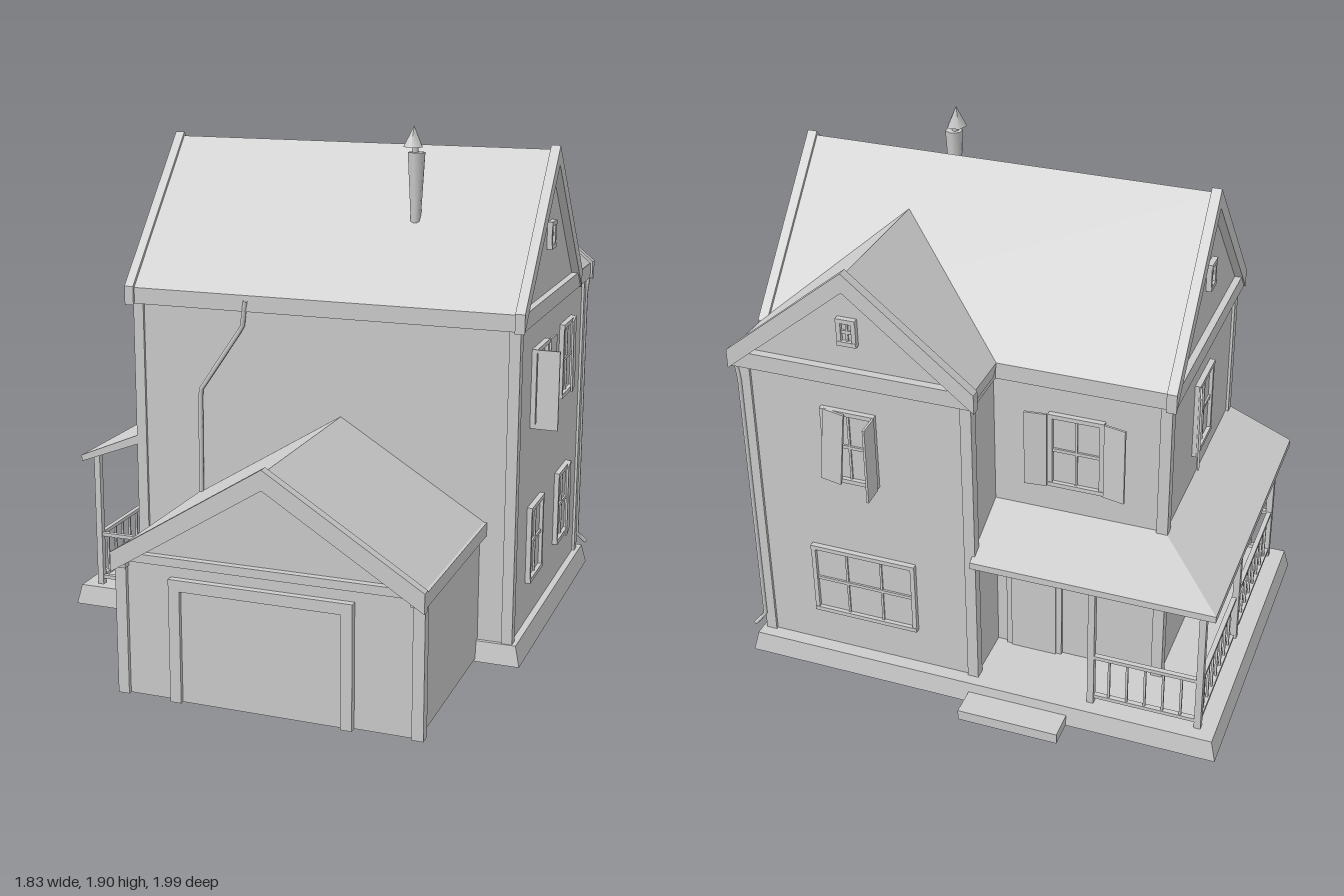
import * as THREE from 'three';

const plaster = new THREE.MeshStandardMaterial({ color: 0xcccccc, side: THREE.DoubleSide });
plaster.name = 'pale grey';

function add(parent, name, geometry) {
  const m = new THREE.Mesh(geometry, plaster);
  m.name = name;
  parent.add(m);
  return m;
}

// Box given by its limits on each axis
function block(parent, name, x0, x1, y0, y1, z0, z1) {
  const m = add(parent, name, new THREE.BoxGeometry(x1 - x0, y1 - y0, z1 - z0));
  m.position.set((x0 + x1) / 2, (y0 + y1) / 2, (z0 + z1) / 2);
  return m;
}

function group(parent, name) {
  const g = new THREE.Group();
  g.name = name;
  parent.add(g);
  return g;
}

const outline = pts => new THREE.Shape(pts.map(p => new THREE.Vector2(p[0], p[1])));

function prism(parent, name, pts, z0, z1) {
  const g = new THREE.ExtrudeGeometry(outline(pts), { depth: z1 - z0, bevelEnabled: false });
  g.translate(0, 0, z0);
  return add(parent, name, g);
}

// Flat sheet in the local xy plane
function sheet(parent, name, pts, z) {
  add(parent, name, new THREE.ShapeGeometry(outline(pts))).position.z = z;
}

// Upright sheet between two plan points
function wall(parent, name, [x0, z0], [x1, z1], y0, y1) {
  const m = add(parent, name, new THREE.PlaneGeometry(Math.hypot(x1 - x0, z1 - z0), y1 - y0));
  m.position.set((x0 + x1) / 2, (y0 + y1) / 2, (z0 + z1) / 2);
  m.rotation.y = Math.atan2(-(z1 - z0), x1 - x0);
}

// Inverted V of the given half width and vertical thickness
const chevron = (h, eave, ridge, t) =>
  [[-h, eave], [0, ridge], [h, eave], [h, eave - t], [0, ridge - t], [-h, eave - t]];

// Roof with rake boards at the chosen ends, running along local z
function gableRoof(parent, name, h, eave, ridge, z0, z1, ends) {
  const g = group(parent, name);
  const slopes = prism(g, 'roofSlopes', chevron(h, eave, ridge, 0.04), z0, z1);
  for (const e of ends) {
    const [a, b] = e < 0 ? [z0 - 0.005, z0 + 0.03] : [z1 - 0.03, z1 + 0.005];
    prism(g, 'rakeBoard', chevron(h + 0.01, eave + 0.005, ridge + 0.015, 0.07), a, b);
  }
  return slopes;
}

// Tube along straight pieces
function pipe(parent, name, pts, r) {
  const path = new THREE.CurvePath();
  const v = pts.map(p => new THREE.Vector3(...p));
  for (let i = 1; i < v.length; i++) path.add(new THREE.LineCurve3(v[i - 1], v[i]));
  add(parent, name, new THREE.TubeGeometry(path, 40, r, 6));
}

// Window facing local +z; shutters are [side, opening angle, sag]
function makeWindow(parent, x, y, z, turn, w, h, shutters = [], bars = 1) {
  const g = group(parent, 'window');
  g.position.set(x, y, z);
  g.rotation.y = turn;
  const a = w / 2, b = h / 2, f = 0.016;
  block(g, 'pane', -a, a, -b, b, -0.004, 0.003);
  for (const s of [-1, 1]) {
    block(g, 'sideFrame', s * (a - f / 2) - f / 2, s * (a - f / 2) + f / 2, -b, b, 0, 0.016);
    block(g, 'crossFrame', -a, a, s * (b - f / 2) - f / 2, s * (b - f / 2) + f / 2, 0, 0.018);
  }
  block(g, 'sashBar', -a, a, -0.006, 0.006, 0, 0.01);
  for (let i = 1; i <= bars; i++) {
    const bx = -a + w * i / (bars + 1);
    block(g, 'uprightBar', bx - 0.004, bx + 0.004, -b, b, 0, 0.009);
  }
  for (const [s, angle, sag = 0] of shutters) {
    const hinge = group(g, 'shutter');
    hinge.position.set(s * a, 0, 0.018);
    hinge.rotation.y = -s * angle;
    const leaf = block(hinge, 'shutterLeaf', -0.04, 0.04, -b, b, -0.004, 0.004);
    leaf.position.x = s * 0.042;
    leaf.rotation.z = sag;
  }
}

function makeHouse(root) {
  const g = group(root, 'house');
  const plan = [[-0.62, 0.24], [0.83, 0.24], [0.83, -0.84], [0, -0.84], [0, -0.62], [-0.62, -0.62]];
  const top = [[-0.885, 0.255], [0.855, 0.255], [0.855, -0.89], [-0.885, -0.89]];

  // Sloped skirt and the floor ledge around the hollow house
  const r = Math.SQRT1_2;
  let skirt = new THREE.CylinderGeometry(r * 0.98, r, 0.075, 4, 1, true).toNonIndexed();
  skirt.rotateY(Math.PI / 4);
  skirt.scale(1.775, 1, 1.17);
  skirt.computeVertexNormals();
  add(g, 'foundationSkirt', skirt).position.set(-0.015, 0.0575, -0.3175);
  const ledge = outline(top);
  ledge.holes.push(outline(plan));
  const floor = new THREE.ExtrudeGeometry(ledge, { depth: 0.008, bevelEnabled: false });
  floor.rotateX(Math.PI / 2);
  add(g, 'porchFloor', floor).position.y = 0.095;
  block(g, 'backStep', -0.36, 0.01, 0.02, 0.06, -1.0, -0.89);

  // Walls
  plan.forEach((p, i) => wall(g, 'houseWall', p, plan[(i + 1) % plan.length], 0.03, 1.28));

  // Main gables and roof, turned so the ridge runs along x
  const main = group(g, 'mainGables');
  main.rotation.y = Math.PI / 2;
  main.position.z = -0.19;
  for (const z of [-0.62, 0.83]) sheet(main, 'gableWall', [[-0.43, 1.28], [0.43, 1.28], [0, 1.785]], z);
  gableRoof(main, 'mainRoof', 0.46, 1.3, 1.815, -0.645, 0.855, [-1, 1]);

  // Rear wing gable, its roof mitred into the main slope
  const wing = group(g, 'rearWing');
  wing.position.x = 0.415;
  sheet(wing, 'gableWall', [[-0.415, 1.28], [0.415, 1.28], [0, 1.625]], -0.84);
  const slopes = gableRoof(wing, 'wingRoof', 0.438, 1.3, 1.655, -0.875, -0.4, [-1]);
  const p = slopes.geometry.attributes.position;
  for (let i = 0; i < p.count; i++) {
    if (p.getZ(i) > -0.5) p.setZ(i, -0.64 + (p.getY(i) - 1.3) * 0.87);
  }
  slopes.geometry.computeVertexNormals();

  // Eave bands
  block(g, 'frontEave', -0.64, 0.85, 1.24, 1.29, 0.23, 0.27);
  block(g, 'leftEave', 0.82, 0.855, 1.24, 1.3, -0.87, 0.27);
  block(g, 'rightEave', -0.645, -0.61, 1.24, 1.3, -0.65, 0.27);
  block(g, 'backEave', -0.64, 0, 1.24, 1.29, -0.65, -0.61);
  block(g, 'wingEave', -0.02, 0.85, 1.24, 1.3, -0.87, -0.83);
  block(g, 'wingSideEave', -0.02, 0.01, 1.24, 1.3, -0.87, -0.6);

  // Corner boards
  for (const [x, z] of [[-0.61, 0.23], [0.82, 0.23], [0.82, -0.83], [0.01, -0.83], [-0.61, -0.61]]) {
    block(g, 'cornerBoard', x - 0.02, x + 0.02, 0.09, 1.25, z - 0.02, z + 0.02);
  }

  // Windows and shutters
  const L = Math.PI / 2, B = Math.PI;
  makeWindow(g, 0.832, 0.985, -0.07, L, 0.2, 0.29, [[-1, 1.55], [1, 0.05]]);
  makeWindow(g, 0.832, 0.985, -0.52, L, 0.2, 0.29, [[1, 3.05, -0.11]]);
  makeWindow(g, 0.832, 0.395, -0.07, L, 0.2, 0.29);
  makeWindow(g, 0.832, 0.395, -0.52, L, 0.2, 0.29, [[1, 3.05, -0.06]]);
  makeWindow(g, 0.44, 0.985, -0.842, B, 0.2, 0.29, [[1, 1.55], [-1, 3.05, 0.1]]);
  makeWindow(g, 0.42, 0.39, -0.842, B, 0.4, 0.29, [], 2);
  makeWindow(g, -0.3, 0.985, -0.622, B, 0.2, 0.29, [[-1, 0.1], [1, 0.2]]);
  makeWindow(g, -0.622, 0.985, -0.2, -L, 0.2, 0.29, [[-1, 0.3]]);
  makeWindow(g, -0.622, 0.395, -0.2, -L, 0.2, 0.29);
  // Gable vents
  makeWindow(g, 0.832, 1.51, -0.185, L, 0.07, 0.1);
  makeWindow(g, -0.622, 1.51, -0.185, -L, 0.07, 0.1);
  makeWindow(g, 0.42, 1.44, -0.842, B, 0.07, 0.1);

  // Back door
  block(g, 'doorFrame', -0.25, -0.04, 0.09, 0.53, -0.632, -0.615);
  block(g, 'doorLeaf', -0.23, -0.06, 0.09, 0.51, -0.638, -0.63);

  // Stove pipe with cone cap
  add(g, 'stovePipe', new THREE.CylinderGeometry(0.032, 0.018, 0.25, 6)).position.set(0.39, 1.685, 0.025);
  add(g, 'pipeNeck', new THREE.CylinderGeometry(0.012, 0.012, 0.05, 6)).position.set(0.385, 1.82, 0.025);
  add(g, 'pipeCap', new THREE.ConeGeometry(0.038, 0.075, 5)).position.set(0.38, 1.865, 0.025);

  // Downpipes
  pipe(g, 'frontDownpipe', [[-0.17, 1.28, 0.27], [-0.19, 1.18, 0.255], [-0.36, 0.93, 0.255], [-0.36, 0.005, 0.27]], 0.009);
  pipe(g, 'leftDownpipe', [[0.85, 1.26, -0.85], [0.84, 1.18, -0.85], [0.84, 0.16, -0.85], [0.875, 0.12, -0.87]], 0.008);
  block(g, 'splashBoard', -0.57, -0.36, 0.06, 0.12, 0.26, 0.275).rotation.z = 0.1;
}

function makePorch(root) {
  const g = group(root, 'porch');
  // Hipped lean-to roof around the back right corner
  const rim = [[0, -0.875, -0.61], [-0.87, -0.875, -0.61], [-0.87, 0.25, 0.25]];
  const v = [], idx = [];
  rim.forEach(([ox, oz, iz], i) => {
    const ix = i ? -0.61 : 0;
    v.push(ox, 0.625, oz, ix, 0.735, iz, ix, 0.70, iz, ox, 0.60, oz);
  });
  for (let i = 0; i < 2; i++) {
    for (let k = 0; k < 4; k++) {
      const a = i * 4 + k, b = i * 4 + (k + 1) % 4;
      idx.push(a, b, b + 4, a, b + 4, a + 4);
    }
  }
  idx.push(0, 2, 1, 0, 3, 2, 8, 9, 10, 8, 10, 11);
  let geo = new THREE.BufferGeometry();
  geo.setAttribute('position', new THREE.Float32BufferAttribute(v, 3));
  geo.setIndex(idx);
  geo = geo.toNonIndexed();
  geo.computeVertexNormals();
  add(g, 'porchRoof', geo);

  // Posts
  for (const [x, z] of [[-0.43, -0.83], [-0.82, -0.83], [-0.82, -0.32], [-0.82, 0.21]]) {
    block(g, 'post', x - 0.012, x + 0.012, 0.09, 0.62, z - 0.012, z + 0.012);
  }
  // Railings between posts
  const spans = [[-0.43, -0.83, -0.82, -0.83], [-0.82, -0.83, -0.82, -0.36], [-0.82, -0.28, -0.82, 0.21], [-0.82, 0.21, -0.62, 0.21]];
  for (const [x0, z0, x1, z1] of spans) {
    const rail = group(g, 'railing');
    const len = Math.hypot(x1 - x0, z1 - z0);
    rail.position.set(x0, 0, z0);
    rail.rotation.y = Math.atan2(-(z1 - z0), x1 - x0);
    for (const y of [0.125, 0.3]) block(rail, 'rail', 0, len, y - 0.007, y + 0.007, -0.009, 0.009);
    const n = Math.round(len / 0.06);
    for (let i = 1; i < n; i++) {
      const x = len * i / n;
      block(rail, 'baluster', x - 0.004, x + 0.004, 0.125, 0.3, -0.004, 0.004);
    }
  }
}

function makeGarage(root) {
  const g = group(root, 'garage');
  g.position.x = 0.185;
  // Walls, open underneath
  for (const s of [-1, 1]) {
    const x = s * 0.525;
    wall(g, 'sideWall', [x, 0.24], [x, 0.95], 0.03, 0.51);
    block(g, 'cornerPost', x - 0.02, x + 0.02, 0.03, 0.5, 0.925, 0.965);
    block(g, 'eaveBand', x - 0.025, x + 0.025, 0.49, 0.54, 0.24, 0.98);
  }
  sheet(g, 'frontWall', [[-0.525, 0.03], [0.525, 0.03], [0.525, 0.51], [0, 0.85], [-0.525, 0.51]], 0.95);
  gableRoof(g, 'garageRoof', 0.54, 0.54, 0.875, 0.24, 0.985, [1]);
  block(g, 'gableBand', -0.53, 0.53, 0.515, 0.545, 0.95, 0.975);
  // Door and surround
  block(g, 'garageDoor', -0.31, 0.275, 0.03, 0.43, 0.952, 0.96);
  for (const x of [-0.325, 0.285]) block(g, 'doorJamb', x - 0.02, x + 0.02, 0.03, 0.47, 0.95, 0.975);
  block(g, 'doorHeader', -0.345, 0.305, 0.43, 0.47, 0.95, 0.975);
}

export function createModel() {
  const root = new THREE.Group();
  root.name = 'farmhouse';
  makeHouse(root);
  makePorch(root);
  makeGarage(root);
  return root;
}
